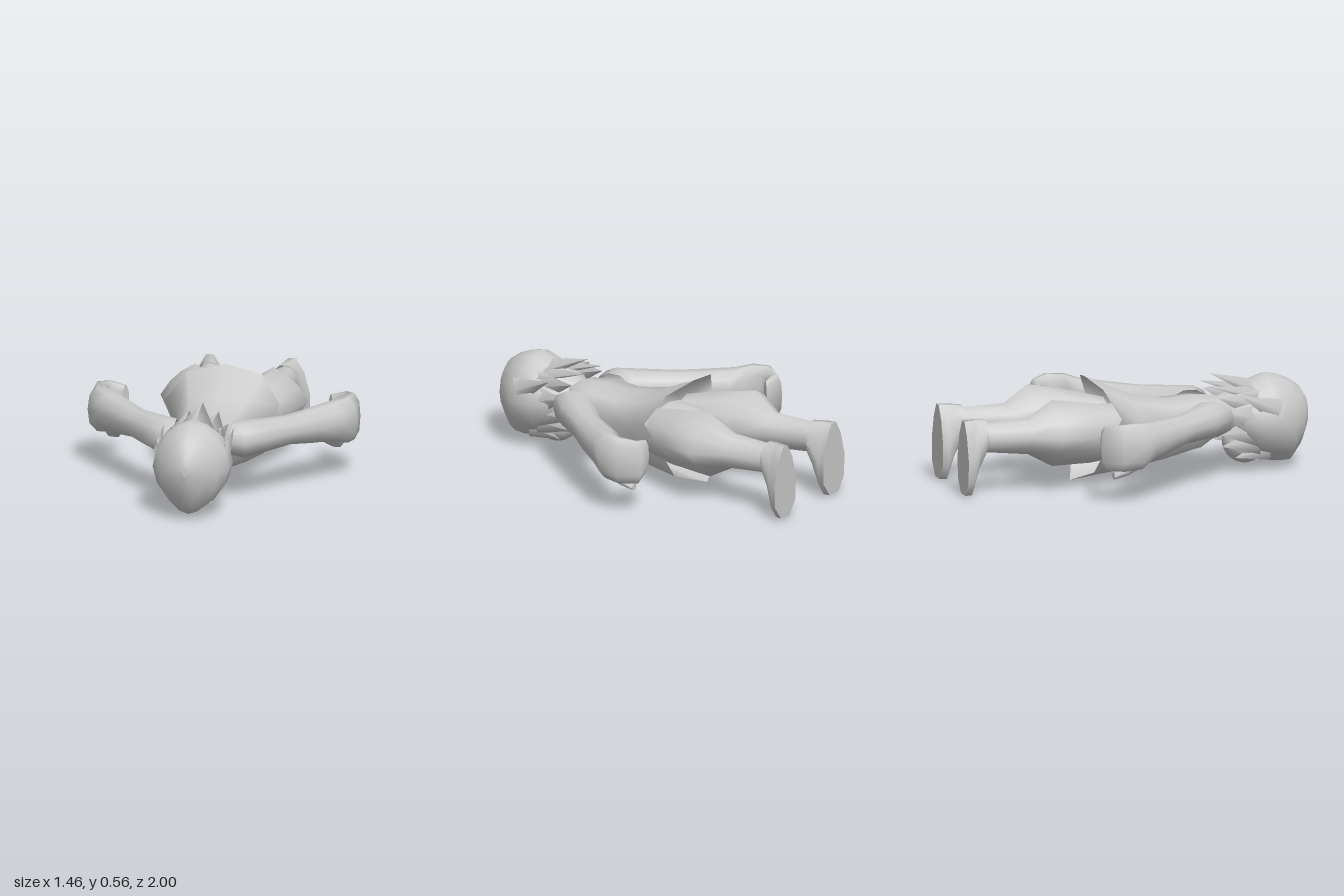
import * as THREE from 'three';

const material = new THREE.MeshStandardMaterial({ color: 0xcccccc, side: THREE.DoubleSide });

// Skin a list of equal rings of Vector3; orientation is corrected from the signed volume.
function loft(name, rings, capStart = true, capEnd = true) {
  const n = rings[0].length, pts = rings.flat(), tris = [];
  for (let r = 0; r < rings.length - 1; r++) {
    for (let i = 0; i < n; i++) {
      const a = r * n + i, b = r * n + (i + 1) % n;
      tris.push([a, b, a + n], [b, b + n, a + n]);
    }
  }
  const cap = (ring, flip) => {
    const c = pts.length;
    pts.push(ring.reduce((s, p) => s.add(p), new THREE.Vector3()).divideScalar(n), ...ring);
    for (let i = 0; i < n; i++) {
      const t = [c, c + 1 + i, c + 1 + (i + 1) % n];
      tris.push(flip ? t.reverse() : t);
    }
  };
  if (capStart) cap(rings[0], true);
  if (capEnd) cap(rings[rings.length - 1], false);
  const mid = pts.reduce((s, p) => s.add(p), new THREE.Vector3()).divideScalar(pts.length);
  const rel = pts.map(p => p.clone().sub(mid));
  const volume = tris.reduce((v, [a, b, c]) => v + rel[a].dot(rel[b].clone().cross(rel[c])), 0);
  if (volume < 0) tris.forEach(t => t.reverse());
  const geometry = new THREE.BufferGeometry().setFromPoints(pts);
  geometry.setIndex(tris.flat());
  geometry.computeVertexNormals();
  const mesh = new THREE.Mesh(geometry, material);
  mesh.name = name;
  return mesh;
}

// Calls fn with the cosine and sine of each angle around a ring
const around = (n, fn) => Array.from({ length: n }, (_, i) => {
  const a = (i / n) * Math.PI * 2;
  return fn(Math.cos(a), Math.sin(a));
});

// Ring across z from [z, xMin, xMax, yMin, yMax]; taper narrows its top, pinch makes it diamond-like
const ringZ = (n, taper = 0) => ([z, x0, x1, y0, y1, pinch = 0]) => around(n, (c, s) => {
  const k = 1 - 2 * pinch * Math.abs(c * s);
  return new THREE.Vector3((x0 + x1) / 2 + c * k * (1 - taper * s) * (x1 - x0) / 2,
    (y0 + y1) / 2 + s * k * (y1 - y0) / 2, z);
});

// Flat tapered hair lock; upright locks are thin in x, the others thin in y
function lock(name, base, tip, radius, upright) {
  const a = new THREE.Vector3(...base), b = new THREE.Vector3(...tip);
  const geometry = new THREE.ConeGeometry(radius, a.distanceTo(b), 4, 1, true);
  geometry.scale(upright ? 0.35 : 1, 1, upright ? 1 : 0.4);
  const mesh = new THREE.Mesh(geometry, material);
  mesh.position.copy(a).add(b).multiplyScalar(0.5);
  mesh.quaternion.setFromUnitVectors(new THREE.Vector3(0, 1, 0), b.sub(a).normalize());
  mesh.name = name;
  return mesh;
}

export function createModel() {
  const model = new THREE.Group();
  model.name = 'proneFigure';

  // Eight-sided tunic, open at the hem: [zTop, zSide, zBottom, yTop, ySide, yBottom, halfWidth]
  const tunic = [
    [0.53, 0.53, 0.53, 0.39, 0.31, 0.23, 0.1],
    [0.48, 0.48, 0.48, 0.41, 0.32, 0.2, 0.15],
    [0.36, 0.36, 0.36, 0.42, 0.31, 0.12, 0.2],
    [0.2, 0.2, 0.2, 0.41, 0.3, 0.08, 0.2],
    [0, 0, 0, 0.45, 0.3, 0.043, 0.235],
    [-0.25, -0.14, -0.33, 0.56, 0.38, 0, 0.31],
  ].map(([zt, zs, zb, yt, ys, yb, w]) => around(8, (c, s) => {
    const lift = Math.sign(s) * Math.min(1, Math.abs(s) * 1.13);
    return new THREE.Vector3(w * c * (1 - 0.1 * Math.abs(lift)),
      ys + (s > 0 ? yt - ys : ys - yb) * lift, zs + ((s > 0 ? zt : zb) - zs) * Math.abs(s) ** 1.3);
  }));
  model.add(loft('tunic', tunic, false, false));

  // Hips beneath the tunic
  model.add(loft('hips', [
    [-0.08, -0.2, 0.2, 0.14, 0.4],
    [-0.25, -0.14, 0.14, 0.16, 0.4],
    [-0.34, -0.04, 0.04, 0.22, 0.34],
  ].map(ringZ(12)), false));

  // Head of hair: [z, yMin, yMax, halfWidth], slightly narrower at top and bottom
  model.add(loft('hair', [
    [0.998, 0.26, 0.31, 0.015],
    [0.985, 0.2, 0.37, 0.055],
    [0.95, 0.11, 0.43, 0.11],
    [0.89, 0.03, 0.475, 0.16],
    [0.82, 0.03, 0.505, 0.205],
    [0.76, 0.04, 0.515, 0.21],
    [0.69, 0.06, 0.49, 0.207],
    [0.62, 0.11, 0.46, 0.185],
    [0.55, 0.17, 0.43, 0.15],
    [0.49, 0.24, 0.4, 0.09],
  ].map(([z, y0, y1, w]) => around(16, (c, s) => new THREE.Vector3(
    w * c * (1 - (s > 0 ? 0.15 : 0.25) * s * s), (y0 + y1) / 2 + s * (y1 - y0) / 2, z))), true, false));

  // Chin and jaw, the lower part of a ball
  const face = new THREE.Mesh(
    new THREE.SphereGeometry(0.12, 14, 8, 0, Math.PI * 2, Math.PI * 0.4, Math.PI * 0.6), material);
  face.position.set(0, 0.153, 0.645);
  face.name = 'face';
  model.add(face);

  // Centre lock on the back of the head and fringe on the brow
  model.add(lock('crownLock', [0, 0.44, 0.69], [0, 0.53, 0.45], 0.11, false));
  model.add(lock('fringe', [0, 0.08, 0.85], [0, 0.04, 0.7], 0.08, false));

  for (const side of [1, -1]) {
    const mirror = ([x, y, z]) => [x * side, y, z];
    const mirrorRing = ([z, a, b, ...rest]) => [z, a * side, b * side, ...rest];
    const prefix = side > 0 ? 'left' : 'right';

    // Hair locks sweeping to the neck and framing the face
    [
      [[0.07, 0.42, 0.67], [0.08, 0.475, 0.415], 0.09, false],
      [[0.12, 0.37, 0.67], [0.14, 0.42, 0.455], 0.085, true],
      [[0.16, 0.3, 0.68], [0.165, 0.34, 0.48], 0.09, true],
      [[0.14, 0.23, 0.67], [0.14, 0.22, 0.46], 0.085, true],
      [[0.12, 0.17, 0.69], [0.12, 0.15, 0.48], 0.075, true],
      [[0.185, 0.34, 0.78], [0.19, 0.43, 0.57], 0.07, true],
      [[0.1, 0.12, 0.75], [0.1, 0.08, 0.56], 0.065, true],
    ].forEach(([a, b, r, upright]) => model.add(lock(prefix + 'HairLock', mirror(a), mirror(b), r, upright)));

    // Arm and curled hand: [outer x, z, inner x, z, yMin, yMax]
    const arm = [
      [0.15, 0.5, 0.16, 0.28, 0.24, 0.41],
      [0.24, 0.51, 0.19, 0.27, 0.23, 0.42],
      [0.345, 0.39, 0.25, 0.2, 0.24, 0.41],
      [0.465, 0.22, 0.345, 0.11, 0.25, 0.4],
      [0.565, 0.095, 0.415, 0.0, 0.23, 0.405],
      [0.67, -0.055, 0.5, -0.12, 0.21, 0.415],
      [0.73, -0.14, 0.58, -0.155, 0.185, 0.43],
      [0.725, -0.26, 0.64, -0.22, 0.18, 0.435],
      [0.645, -0.36, 0.625, -0.285, 0.18, 0.42],
      [0.54, -0.335, 0.57, -0.295, 0.22, 0.4],
    ].map(([xo, zo, xi, zi, y0, y1]) => around(10, (c, s) => {
      const k = 1 + 0.15 * Math.abs(c * s);
      return new THREE.Vector3(side * ((xo + xi) / 2 + c * k * (xo - xi) / 2),
        (y0 + y1) / 2 + s * k * (y1 - y0) / 2, (zo + zi) / 2 + c * k * (zo - zi) / 2);
    }));
    model.add(loft(prefix + 'Arm', arm, false));

    // Thumb
    model.add(loft(prefix + 'Thumb', [
      [-0.09, 0.52, 0.62, 0.2, 0.3],
      [-0.14, 0.53, 0.66, 0.17, 0.28],
      [-0.21, 0.56, 0.65, 0.14, 0.21],
      [-0.28, 0.575, 0.62, 0.12, 0.16],
    ].map(mirrorRing).map(ringZ(6)), false));

    // Leg with baggy, ridged thigh
    model.add(loft(prefix + 'Leg', [
      [-0.1, 0.015, 0.255, 0.14, 0.41, 0.05],
      [-0.27, 0.02, 0.32, 0.125, 0.45, 0.1],
      [-0.5, 0.025, 0.4, 0.13, 0.49, 0.18],
      [-0.63, 0.105, 0.285, 0.2, 0.4, 0.05],
      [-0.89, 0.13, 0.27, 0.23, 0.39],
    ].map(mirrorRing).map(ringZ(12)), false, false));

    // Boot pointing down, narrow at the heel and broad at the toe
    const sole = ringZ(10, 0.3);
    model.add(loft(prefix + 'Boot', [
      ringZ(10)(mirrorRing([-0.87, 0.13, 0.275, 0.225, 0.405])),
      sole(mirrorRing([-0.92, 0.13, 0.285, 0.13, 0.415])),
      sole(mirrorRing([-0.96, 0.13, 0.305, 0, 0.42])),
      sole(mirrorRing([-1, 0.125, 0.32, 0, 0.42])),
    ], false));
  }
  return model;
}
